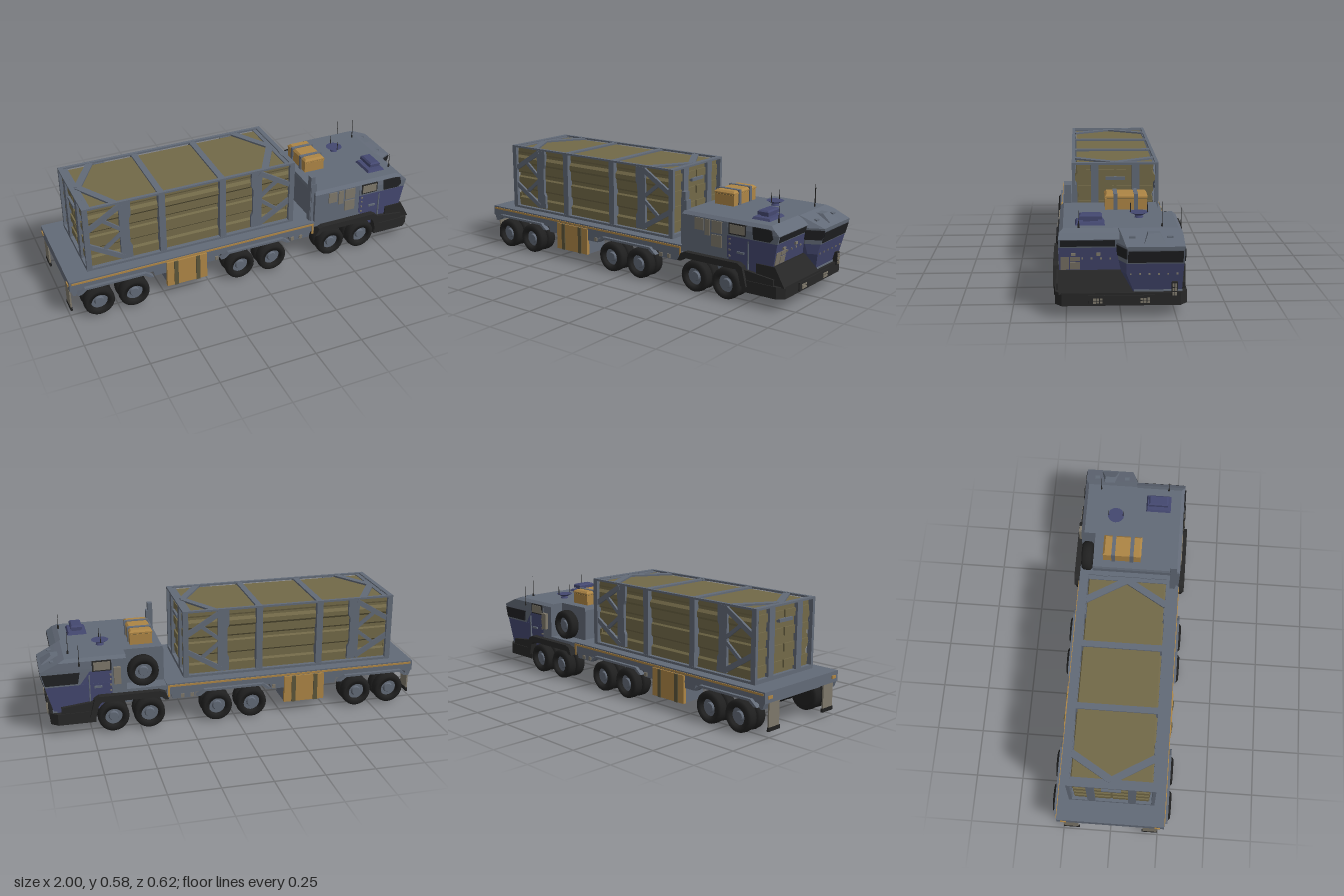
import * as THREE from 'three';

const mat = (name, color) => {
  const m = new THREE.MeshStandardMaterial({ color });
  m.name = name;
  return m;
};

export function createModel() {
  const grey = mat('slate grey', 0x626a77), blue = mat('navy blue', 0x444870), khaki = mat('khaki', 0x726948),
    gold = mat('ochre', 0xad8545), rubber = mat('tyre black', 0x202020), black = mat('trim black', 0x272727),
    glass = mat('dark glass', 0x202124), tan = mat('pale tan', 0x7d776a), drab = mat('dark khaki', 0x5c553a);
  const root = new THREE.Group();
  const group = (name, parent = root) => {
    const g = new THREE.Group();
    g.name = name;
    parent.add(g);
    return g;
  };
  const add = (parent, name, geo, m) => {
    const mesh = new THREE.Mesh(geo, m);
    mesh.name = name;
    parent.add(mesh);
    return mesh;
  };
  // Box given by its extents
  const box = (p, name, m, x0, x1, y0, y1, z0, z1) => {
    const b = add(p, name, new THREE.BoxGeometry(x1 - x0, y1 - y0, z1 - z0), m);
    b.position.set((x0 + x1) / 2, (y0 + y1) / 2, (z0 + z1) / 2);
    return b;
  };
  // Side profile (x, y) extruded from z0 to z1
  const prism = (p, name, m, pts, z0, z1) => {
    const shape = new THREE.Shape(pts.map(q => new THREE.Vector2(...q)));
    const e = add(p, name, new THREE.ExtrudeGeometry(shape, { depth: z1 - z0, bevelEnabled: false }), m);
    e.position.z = z0;
    return e;
  };
  // Stack of rectangles: each level is [y, xBack, xFront, z0, z1, optional cut of the front left corner]
  const loft = (p, name, m, levels) => {
    const rings = levels.map(([y, xb, xf, z0, z1, c]) => [[xb, y, z0], [xb, y, z1],
      ...(c ? [[xf - 2 * c, y, z1], [xf, y, z1 - c]] : [[xf, y, z1]]), [xf, y, z0]]);
    const pos = [], n = rings[0].length;
    const fan = pts => {
      for (let i = 1; i < pts.length - 1; i++) pos.push(...pts[0], ...pts[i], ...pts[i + 1]);
    };
    for (let i = 0; i < rings.length - 1; i++)
      for (let j = 0; j < n; j++)
        fan([rings[i][j], rings[i][(j + 1) % n], rings[i + 1][(j + 1) % n], rings[i + 1][j]]);
    fan(rings[rings.length - 1]);
    fan(rings[0].slice().reverse());
    const g = new THREE.BufferGeometry();
    g.setAttribute('position', new THREE.Float32BufferAttribute(pos, 3));
    g.computeVertexNormals();
    return add(p, name, g, m);
  };
  const cyl = (p, name, m, rt, rb, h, x, y, z, n = 16) => {
    const c = add(p, name, new THREE.CylinderGeometry(rt, rb, h, n), m);
    c.position.set(x, y, z);
    return c;
  };
  // Flat bar between two points of an (x, y) plane
  const bar = (p, name, m, [x0, y0], [x1, y1], w, z, t) => {
    const b = add(p, name, new THREE.BoxGeometry(Math.hypot(x1 - x0, y1 - y0), w, t), m);
    b.position.set((x0 + x1) / 2, (y0 + y1) / 2, z);
    b.rotation.z = Math.atan2(y1 - y0, x1 - x0);
    return b;
  };

  // Wheels: paired tyres with a stepped hub, facing +z
  const tyreProfile = [[.045, -.028], [.068, -.03], [.079, -.02], [.081, 0], [.079, .02], [.068, .03], [.045, .028], [.045, -.028]]
    .map(q => new THREE.Vector2(...q));
  const tyreGeo = new THREE.LatheGeometry(tyreProfile, 24).rotateX(Math.PI / 2);
  const tyre = (p, z) => { add(p, 'tyre', tyreGeo, rubber).position.z = z; };
  const hub = (p, z) => {
    cyl(p, 'rim', grey, .047, .047, .03, 0, 0, z - .007, 20).rotation.x = Math.PI / 2;
    cyl(p, 'hubCap', grey, .022, .028, .014, 0, 0, z + .012, 12).rotation.x = Math.PI / 2;
  };
  const wheels = group('wheels');
  for (const x of [-.855, -.67, -.085, .1, .455, .64])
    for (const side of [1, -1]) {
      const w = group('dualWheel', wheels);
      w.position.set(x, .081, 0);
      w.rotation.y = side > 0 ? 0 : Math.PI;
      tyre(w, .219);
      tyre(w, .281);
      cyl(w, 'innerDrum', rubber, .05, .05, .07, 0, 0, .226, 20).rotation.x = Math.PI / 2;
      hub(w, .281);
    }

  // Trailer bed
  const trailer = group('trailer');
  box(trailer, 'deck', grey, -.995, .36, .165, .22, -.28, .28);
  box(trailer, 'underbody', grey, -.96, .37, .145, .166, -.185, .185);
  for (const s of [1, -1]) {
    const z = (a, b) => s > 0 ? [a, b] : [-b, -a];
    for (const [a, b] of [[-.56, -.19], [.21, .34], [-.99, -.955]])
      prism(trailer, 'skirt', grey, [[a, .166], [a + .01, .135], [b - .01, .135], [b, .166]], ...z(.2, .278));
    box(trailer, 'edgeStripe', gold, -.985, .355, .203, .213, ...z(.279, .284));
    box(trailer, 'stripeEnd', gold, .345, .355, .15, .203, ...z(.279, .284));
    for (const c of [-.7625, .0075])
      prism(trailer, 'wheelArch', grey, [[c - .2, .145], [c - .16, .178], [c + .16, .178], [c + .2, .145],
        [c + .18, .145], [c + .15, .167], [c - .15, .167], [c - .18, .145]], ...z(.27, .298));
    // Storage locker with straps
    box(trailer, 'lockerBody', grey, -.48, -.27, .055, .17, ...z(.14, .275));
    box(trailer, 'lockerDoor', gold, -.488, -.268, .055, .2, ...z(.27, .288));
    for (const x of [-.45, -.33])
      box(trailer, 'lockerStrap', drab, x, x + .022, .055, .2, ...z(.286, .293));
    for (const x of [-.22, .22, .27])
      box(trailer, 'sideLatch', tan, x, x + .018, .14, .16, ...z(.277, .284));
    box(trailer, 'mudFlap', tan, -.993, -.985, .045, .166, ...z(.17, .245));
    box(trailer, 'flapEdge', rubber, -.994, -.984, .025, .045, ...z(.165, .248));
    box(trailer, 'tailLamp', gold, -1, -.994, .185, .2, ...z(.23, .26));
  }

  // Cargo container: corrugated body in an open frame
  const cargo = group('container');
  const half = [[.195, .222], [.195, .275], [.185, .285], [.185, .325], [.195, .335], [.195, .395], [.187, .403],
    [.187, .42], [.196, .43], [.196, .475], [.205, .487], [.205, .51], [.193, .525], [.193, .537], [.196, .545], [.196, .571]];
  const section = [...half, ...half.map(([z, y]) => [-z, y]).reverse()];
  const body = prism(cargo, 'corrugatedBody', khaki, section, 0, 1.105);
  body.rotation.y = Math.PI / 2;
  body.position.set(-.865, 0, 0);
  const X0 = -.885, X1 = .26, mid = (X0 + X1) / 2;
  for (const s of [1, -1]) {
    const z = (a, b) => s > 0 ? [a, b] : [-b, -a];
    box(cargo, 'topRail', grey, X0, X1, .572, .582, ...z(.205, .222));
    box(cargo, 'bottomRail', grey, X0, X1, .22, .232, ...z(.2, .222));
    for (const x of [mid - .165, mid + .165])
      box(cargo, 'sideBar', grey, x - .017, x + .017, .22, .58, ...z(.185, .221));
    for (const e of [1, -1]) {
      const end = mid + e * .5725, X = d => end - e * d;
      const xr = (a, b) => e > 0 ? [X(b), X(a)] : [X(a), X(b)];
      box(cargo, 'cornerPost', grey, ...xr(0, .028), .22, .58, ...z(.205, .222));
      // Side bracket: upright plate with braces to the corner post
      prism(cargo, 'bracketPlate', grey, [[X(.185), .24], [X(.245), .24], [X(.245), .31], [X(.235), .33], [X(.235), .47],
        [X(.245), .49], [X(.245), .57], [X(.185), .57]], ...z(.2, .216));
      bar(cargo, 'upperBrace', grey, [X(.2), .56], [X(.02), .45], .026, s * .211, .014);
      bar(cargo, 'lowerBrace', grey, [X(.2), .25], [X(.02), .36], .026, s * .211, .014);
      bar(cargo, 'innerBraceTop', grey, [X(.2), .41], [X(.1), .49], .018, s * .21, .012);
      bar(cargo, 'innerBraceLow', grey, [X(.2), .40], [X(.1), .32], .018, s * .21, .012);
      // Roof chevron, half on each side
      const chevron = box(cargo, 'roofChevron', grey, -.122, .122, .57, .58, -.018, .018);
      chevron.position.x = X(.105);
      chevron.position.z = s * .105;
      chevron.rotation.y = Math.atan2(s * .21, e * .125);
      // End wall uprights and ribs
      box(cargo, 'endUpright', grey, ...xr(0, .028), .22, .58, ...z(.085, .125));
      for (const y of [.26, .34, .42, .505])
        box(cargo, 'endRib', khaki, ...xr(.012, .03), y, y + .04, ...z(.006, .19));
    }
  }
  for (const e of [1, -1]) {
    const x = mid + e * .56;
    box(cargo, 'endTopRail', grey, x - .0125, x + .0125, .572, .582, -.22, .22);
    box(cargo, 'endBottomRail', grey, x - .0125, x + .0125, .22, .24, -.22, .22);
    box(cargo, 'endHandle', grey, x - .0125, x + .0125, .492, .508, -.05, .05);
    box(cargo, 'roofEndPlate', grey, ...(e > 0 ? [x - .035, x] : [x, x + .035]), .568, .576, -.21, .21);
    box(cargo, 'roofBar', grey, mid + e * .165 - .016, mid + e * .165 + .016, .565, .58, -.21, .21);
  }

  // Cab, with a deep nose on the left and a raised forward cockpit on the right
  const cab = group('cab');
  box(cab, 'chassis', grey, .36, .9, .1, .2, -.185, .185);
  box(cab, 'bellyPlate', grey, .735, .92, .056, .062, -.28, .28);
  box(cab, 'rearBody', grey, .36, .64, .19, .385, -.2, .28);
  loft(cab, 'rearRoof', grey, [[.385, .36, .64, -.2, .28], [.4, .365, .64, -.2, .262]]);
  loft(cab, 'rearRightBody', grey, [[.19, .565, .64, -.28, -.19], [.385, .565, .64, -.28, -.19], [.4, .565, .64, -.262, -.19]]);
  box(cab, 'spareShelf', grey, .36, .57, .19, .215, -.28, -.19);
  loft(cab, 'leftNose', blue, [[.12, .63, .875, -.06, .275], [.21, .63, .89, -.06, .28], [.32, .63, .91, -.06, .283]]);
  loft(cab, 'leftRoof', grey, [[.32, .63, .91, -.06, .284], [.36, .63, .92, -.06, .284], [.385, .63, .89, -.06, .28], [.4, .63, .865, -.06, .262]]);
  loft(cab, 'rightNose', blue, [[.12, .63, .935, -.275, -.05, .006], [.21, .63, .96, -.278, 0, .022], [.262, .63, .974, -.28, .012, .034]]);
  loft(cab, 'rightBrow', grey, [[.262, .8, .975, -.281, .012, .034], [.33, .75, .993, -.282, .018, .04], [.345, .63, .995, -.282, .02, .04],
    [.385, .63, .905, -.28, .02, .02], [.4, .63, .87, -.262, .02, .01]]);
  box(cab, 'rightDoor', blue, .63, .86, .25, .346, -.279, -.05);
  loft(cab, 'noseSkid', black, [[.115, .8, .955, -.055, .284], [.21, .8, .902, 0, .286]]);
  box(cab, 'noseLip', grey, .92, .942, .121, .129, -.276, -.058);
  loft(cab, 'leftWindscreen', glass, [[.327, .9, .9155, .027, .274], [.357, .9, .923, .027, .274]]);
  loft(cab, 'rightWindscreen', glass, [[.268, .96, .9795, -.275, -.028], [.324, .96, .9945, -.275, -.028]]);
  loft(cab, 'cornerWindow', glass, [[.285, .885, .982, -.024, .0185, .0365], [.335, .885, .996, -.024, .0225, .04]]);
  for (const [y0, y1, z0, z1] of [[.213, .276, .235, .274], [.213, .25, .185, .23], [.255, .276, .185, .23]])
    loft(cab, 'nosePanel', tan, [[y0, .87, .8935 + (y0 - .21) * .18, z0, z1], [y1, .87, .8935 + (y1 - .21) * .18, z0, z1]]);
  for (const z of [.215, .102]) box(cab, 'noseHook', tan, .895, .913, .283, .295, z - .01, z + .01);
  for (const [y, x, z0, n] of [[.267, .902, .045, 4], [.21, .961, -.255, 6]])
    for (let i = 0; i < n; i++) box(cab, 'noseRivet', tan, x - .006, x + .003, y - .004, y + .004, z0 + i * .042, z0 + i * .042 + .008);
  prism(cab, 'leftSideWindow', glass, [[.775, .385], [.78, .325], [.87, .325], [.888, .345], [.878, .38], [.86, .385]], .279, .288);
  prism(cab, 'rightSideWindow', glass, [[.8, .33], [.81, .272], [.973, .272], [.988, .33]], -.287, -.279);
  for (const s of [1, -1]) {
    const z = (a, b) => s > 0 ? [a, b] : [-b, -a];
    box(cab, 'doorWindowFrame', black, .64, .737, .329, .385, ...z(.278, .286));
    box(cab, 'doorVent', tan, .647, .73, .335, .379, ...z(.28, .288));
    box(cab, 'doorSeam', grey, .75, .756, .17, .31, ...z(.277, .286));
    box(cab, 'doorHandle', grey, .69, .73, .24, .25, ...z(.277, .288));
    for (const y of [.22, .25, .28, .305]) box(cab, 'doorRivet', tan, .642, .65, y - .004, y + .004, ...z(.277, .286));
    prism(cab, 'fender', black, [[.355, .15], [.375, .19], [.4, .2], [.71, .2], [.735, .185], [.76, .09], [.73, .09],
      [.715, .15], [.7, .168], [.395, .168], [.375, .15]], ...z(.2, .312));
    prism(cab, 'sill', black, [[.73, .17], [.9, .15], [.9, .1], [.73, .1]], ...z(.2, .295));
  }
  for (const [x0, x1, y0, y1] of [[.44, .49, .32, .38], [.5, .53, .3, .38], [.54, .6, .32, .38], [.54, .6, .25, .31]])
    box(cab, 'sidePanel', tan, x0, x1, y0, y1, .278, .285);
  box(cab, 'sideLadder', tan, .595, .63, .255, .345, -.298, -.28);

  // Front bumper with lamps
  const bumperPlan = [[.73, -.3], [.92, -.3], [.955, -.27], [.955, .27], [.92, .3], [.73, .3]].map(q => new THREE.Vector2(q[0], -q[1]));
  const bumper = add(cab, 'bumper', new THREE.ExtrudeGeometry(new THREE.Shape(bumperPlan), { depth: .06, bevelEnabled: false }), black);
  bumper.rotation.x = -Math.PI / 2;
  bumper.position.y = .06;
  box(cab, 'bumperPlate', black, .94, .962, .068, .11, -.15, .15);
  for (const c of [.107, -.107])
    for (let i = 0; i < 6; i++) {
      const z = c + (i % 3 - 1) * .015, y = .074 + Math.floor(i / 3) * .014;
      box(cab, 'headlamp', tan, .958, .966, y, y + .01, z - .006, z + .006);
    }
  box(cab, 'lampStrip', black, .93, .963, .105, .172, -.253, -.227);
  for (let i = 0; i < 6; i++)
    box(cab, 'stripLamp', tan, .96, .968, .11 + (i >> 1) * .02, .124 + (i >> 1) * .02, -.249 + (i % 2) * .011, -.241 + (i % 2) * .011);

  // Spare wheel in its recess and exhaust stacks
  const spare = group('spareWheel', cab);
  spare.position.set(.475, .295, -.24);
  spare.rotation.y = Math.PI;
  tyre(spare, 0);
  hub(spare, 0);
  box(cab, 'exhaustStack', grey, .34, .365, .2, .49, .226, .259);
  box(cab, 'exhaustShield', grey, .345, .375, .2, .448, .225, .262);

  // Roof equipment
  const roof = group('roofEquipment', cab);
  box(roof, 'cargoCase', gold, .407, .523, .4, .455, -.145, .06);
  loft(roof, 'caseLid', gold, [[.458, .405, .525, -.147, .062], [.466, .405, .525, -.147, .062], [.476, .415, .515, -.137, .052]]);
  box(roof, 'caseSeam', drab, .41, .52, .454, .459, -.143, .058);
  for (const z of [.01, -.09]) box(roof, 'caseStrap', grey, .401, .529, .4, .479, z - .01, z + .01);
  cyl(roof, 'dishBase', blue, .015, .022, .015, .672, .406, -.095);
  cyl(roof, 'dish', blue, .045, .02, .013, .672, .419, -.095);
  for (const z of [-.055, -.135]) cyl(roof, 'dishProng', black, .001, .003, .05, .672, .448, z, 6);
  loft(roof, 'sensorBase', blue, [[.4, .72, .822, .07, .207], [.412, .727, .815, .077, .2]]);
  box(roof, 'sensorNeck', blue, .75, .79, .41, .424, .1, .17);
  loft(roof, 'sensorHead', blue, [[.422, .742, .802, .082, .19], [.438, .742, .802, .082, .19], [.445, .75, .795, .09, .182]]);
  loft(roof, 'browHatch', grey, [[.355, .85, .982, -.195, -.1], [.39, .85, .93, -.175, -.12]]);
  for (const z of [-.05, -.22]) box(roof, 'browVent', grey, .88, .94, .35, .378, z - .013, z + .013);
  for (const [x, y, z, h] of [[.845, .39, -.19, .125], [.8, .36, -.281, .115], [.86, .395, .19, .085]]) {
    cyl(roof, 'antenna', black, .0012, .002, h, x, y + h / 2, z, 6);
    cyl(roof, 'antennaFoot', black, .004, .005, .02, x, y + .015, z, 8);
  }
  return root;
}
